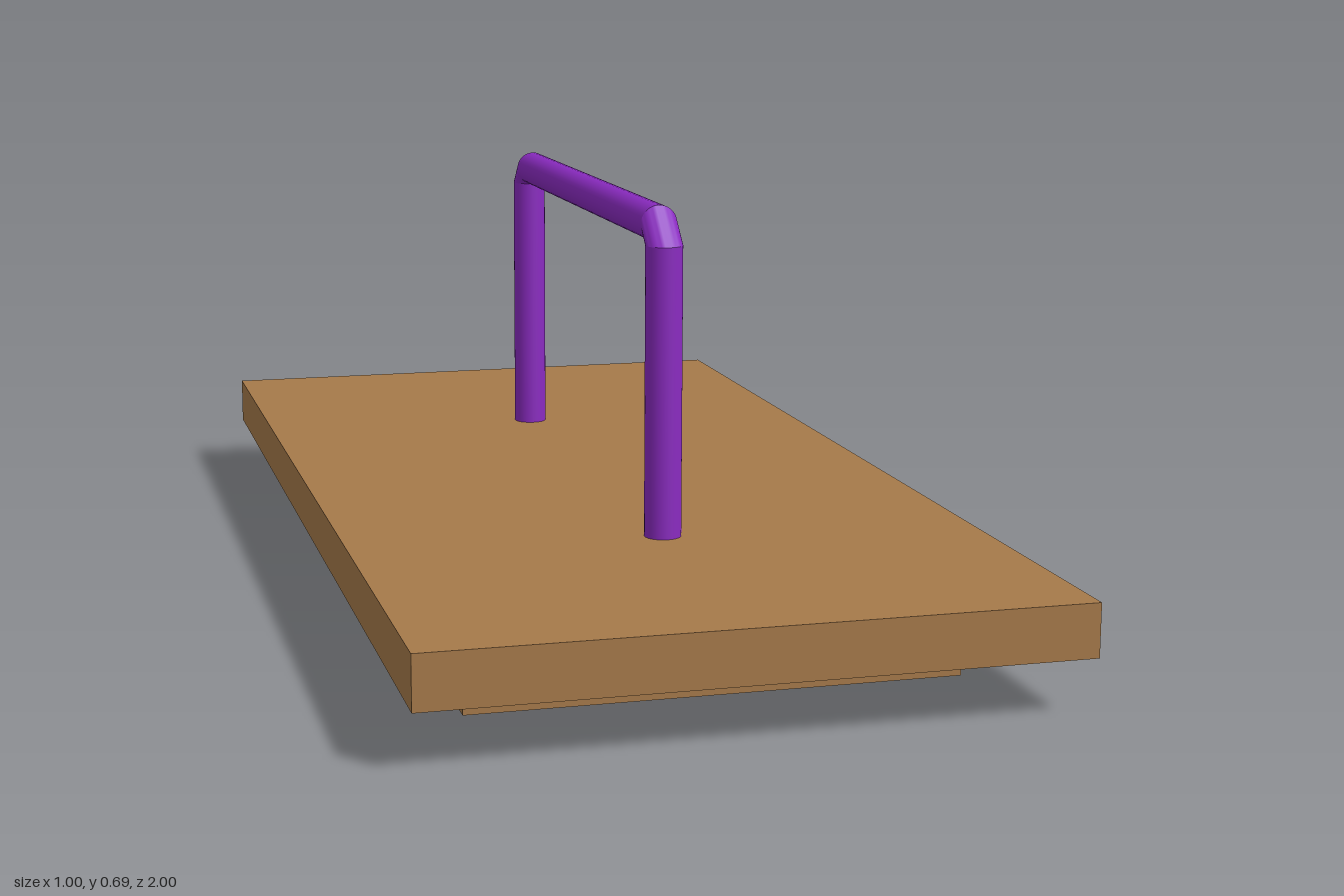
import * as THREE from 'three';
import { toCreasedNormals } from 'three/addons/utils/BufferGeometryUtils.js';

export function createModel() {
  const group = new THREE.Group();
  const wood = new THREE.MeshStandardMaterial({ color: 0xa67a4a });
  const purple = new THREE.MeshStandardMaterial({ color: 0x8a2bc0 });

  const add = (name, geometry, material, x, y, z) => {
    const mesh = new THREE.Mesh(geometry, material);
    mesh.name = name;
    mesh.position.set(x, y, z);
    group.add(mesh);
    return mesh;
  };

  // Two stacked boards
  const lowerH = 0.087, topY = 0.17;
  add('lowerBoard', new THREE.BoxGeometry(0.77, lowerH, 1.54), wood, 0, lowerH / 2, 0);
  add('upperBoard', new THREE.BoxGeometry(1, topY - lowerH, 2), wood, 0, (lowerH + topY) / 2, 0);

  // Bent-rod handle: two legs, bevelled elbows and a grip bar
  const r = 0.0295, bend = 0.03, sides = 32;
  const handleX = -0.002, legTop = 0.632, rootY = 0.15;
  const ends = [
    { name: 'front', z: 0.475, dir: 1 },
    { name: 'back', z: -0.46, dir: -1 },
  ];
  for (const { name, z, dir } of ends) {
    add(name + 'Leg', new THREE.CylinderGeometry(r, r, legTop - rootY, sides), purple,
      handleX, (legTop + rootY) / 2, z);
    const bevel = toCreasedNormals(new THREE.TorusGeometry(bend, r, sides, 1, Math.PI / 2), 0.6);
    const elbow = add(name + 'Elbow', bevel, purple, handleX, legTop, z - dir * bend);
    elbow.rotation.y = -dir * Math.PI / 2;
  }

  const barLength = ends[0].z - ends[1].z - 2 * bend;
  const bar = add('gripBar', new THREE.CylinderGeometry(r, r, barLength, sides), purple,
    handleX, legTop + bend, (ends[0].z + ends[1].z) / 2);
  bar.rotation.x = Math.PI / 2;

  return group;
}
